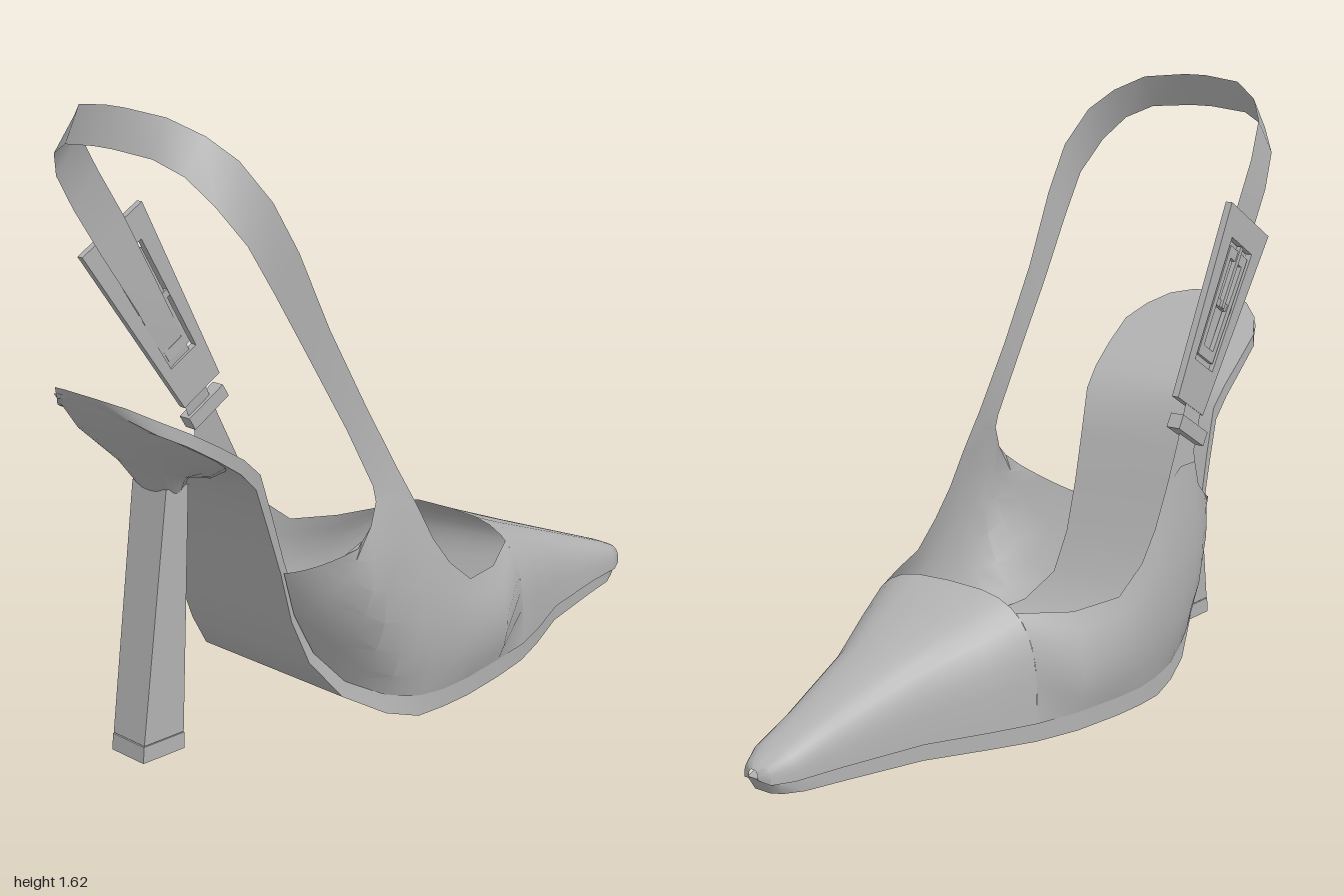
import * as THREE from 'three';
import { toCreasedNormals } from 'three/addons/utils/BufferGeometryUtils.js';

const leather = new THREE.MeshStandardMaterial({ color: 0xb2b2b2, side: THREE.DoubleSide });
leather.name = 'grey leather';

// Skin a list of equal-length cross-sections; closed sections also get end caps.
function loft(sections, closed = false) {
  const list = sections.slice();
  if (closed) {
    const cap = s => {
      const c = [0, 1, 2].map(k => s.reduce((sum, p) => sum + p[k], 0) / s.length);
      return s.map(() => c);
    };
    list.unshift(cap(sections[0]));
    list.push(cap(sections[sections.length - 1]));
  }
  const n = list[0].length, index = [];
  for (let i = 0; i < list.length - 1; i++) {
    for (let j = 0; j < (closed ? n : n - 1); j++) {
      const k = (j + 1) % n, a = i * n + j, b = i * n + k, c = a + n, d = b + n;
      index.push(a, b, c, b, d, c);
    }
  }
  const g = new THREE.BufferGeometry();
  g.setAttribute('position', new THREE.Float32BufferAttribute(list.flat(2), 3));
  g.setIndex(index);
  return toCreasedNormals(g, 0.6);
}

export function createModel() {
  const model = new THREE.Group();
  const add = (name, geometry, parent = model) => {
    const mesh = new THREE.Mesh(geometry, leather);
    mesh.name = name;
    parent.add(mesh);
    return mesh;
  };

  // Sole, arched shank and heel seat: z top, y top, x right, x left, z bottom, y bottom
  const sole = [
    [-0.995, 0.06, -0.005, 0.045, -0.97, 0.02], [-0.97, 0.05, -0.03, 0.065, -0.95, 0.018],
    [-0.9, 0.05, -0.055, 0.09, -0.9, 0.015], [-0.8, 0.05, -0.08, 0.11, -0.8, 0.012],
    [-0.566, 0.05, -0.145, 0.165, -0.566, 0.006], [-0.4, 0.05, -0.23, 0.24, -0.4, 0.003],
    [-0.28, 0.05, -0.285, 0.285, -0.28, 0], [-0.15, 0.05, -0.325, 0.315, -0.15, 0],
    [0, 0.05, -0.345, 0.34, 0, 0], [0.1, 0.05, -0.35, 0.345, 0.1, 0],
    [0.18, 0.055, -0.345, 0.34, 0.19, 0], [0.25, 0.08, -0.335, 0.3, 0.27, 0.02],
    [0.32, 0.13, -0.325, 0.21, 0.34, 0.06], [0.38, 0.21, -0.31, 0.15, 0.4, 0.155],
    [0.435, 0.32, -0.295, 0.145, 0.455, 0.28], [0.49, 0.46, -0.28, 0.155, 0.5, 0.425],
    [0.54, 0.59, -0.265, 0.17, 0.555, 0.56], [0.595, 0.715, -0.25, 0.19, 0.61, 0.68],
    [0.66, 0.77, -0.245, 0.205, 0.67, 0.735], [0.75, 0.825, -0.235, 0.22, 0.755, 0.79],
    [0.85, 0.882, -0.22, 0.23, 0.855, 0.85], [0.92, 0.92, -0.18, 0.2, 0.92, 0.885],
    [0.97, 0.95, -0.12, 0.15, 0.965, 0.92], [1, 0.965, -0.04, 0.08, 0.99, 0.945],
  ];
  add('soleAndInsole', loft(sole.map(([z, y, r, l, zb, yb]) =>
    [[r, y, z], [l, y, z], [l, yb, zb], [r, yb, zb]]), true));

  // Pointed vamp: z, centre x, half width, base y, top y
  const vamp = [
    [-1, 0.02, 0.015, 0.06, 0.085], [-0.985, 0.02, 0.045, 0.05, 0.1],
    [-0.93, 0.02, 0.075, 0.05, 0.125], [-0.8, 0.015, 0.1, 0.05, 0.175],
    [-0.566, 0.01, 0.16, 0.05, 0.265], [-0.4, 0.005, 0.24, 0.05, 0.33],
    [-0.28, 0, 0.29, 0.05, 0.38],
  ];
  const vampPoint = ([z, c, hw, base, top], t) => {
    const e = 0.6 + 0.15 * (-0.28 - z) / 0.72, cos = Math.cos(t);
    return [c + Math.sign(cos) * hw * Math.abs(cos) ** e,
      base + (top - base) * Math.max(0, Math.sin(t)) ** e, z];
  };
  add('vamp', loft(vamp.map(s =>
    Array.from({ length: 17 }, (_, i) => vampPoint(s, Math.PI * i / 16)))));

  // Side walls: feather edge, bulge and topline at each station
  const leftWall = [
    [0.315, 0.05, -0.15, 0.345, 0.18, -0.15, 0.30, 0.318, -0.14],
    [0.34, 0.05, 0, 0.37, 0.19, 0, 0.345, 0.33, 0],
    [0.345, 0.05, 0.1, 0.375, 0.22, 0.1, 0.355, 0.40, 0.09],
    [0.34, 0.055, 0.18, 0.375, 0.26, 0.17, 0.35, 0.48, 0.15],
    [0.325, 0.06, 0.22, 0.372, 0.28, 0.22, 0.34, 0.58, 0.2],
    [0.29, 0.07, 0.27, 0.365, 0.29, 0.27, 0.335, 0.63, 0.27],
    [0.21, 0.10, 0.33, 0.355, 0.30, 0.33, 0.335, 0.63, 0.34],
    [0.155, 0.18, 0.39, 0.335, 0.33, 0.38, 0.335, 0.56, 0.36],
    [0.148, 0.30, 0.45, 0.285, 0.39, 0.43, 0.335, 0.53, 0.39],
    [0.158, 0.425, 0.492, 0.25, 0.46, 0.46, 0.34, 0.515, 0.41],
  ];
  // The outer side hugs the shank more closely
  const rightEdge = [-0.325, -0.345, -0.35, -0.345, -0.34, -0.335, -0.325, -0.31, -0.295, -0.28];
  const rightBulge = [-0.345, -0.37, -0.375, -0.378, -0.378, -0.375, -0.368, -0.358, -0.338, -0.315];
  const rightWall = leftWall.map((s, i) => {
    const r = s.slice();
    r[0] = rightEdge[i];
    r[3] = rightBulge[i];
    r[6] = i < 3 ? -s[6] : -0.355;
    return r;
  });
  const wallPoint = (s, u) => [0, 1, 2].map(k =>
    s[k] * (1 - u) * (1 - 2 * u) + s[3 + k] * 4 * u * (1 - u) + s[6 + k] * u * (2 * u - 1));
  const steps = [0, 1, 2, 3, 4, 5, 6].map(i => i / 6);
  [['leftQuarter', leftWall, 1], ['rightQuarter', rightWall, -1]].forEach(([name, wall, side]) => {
    const first = steps.map(u => {
      const [x, y, z] = vampPoint(vamp[6], 0.89 * u);
      return [side * x, y, z];
    });
    add(name, loft([first, ...wall.map(s => steps.map(u => wallPoint(s, u)))]));
  });

  // Heel strap: left x, right x, front edge z y, back edge z y, from ankle to crown
  const strap = [
    [0.34, -0.355, 0.2, 0.58, 0.342, 0.6],
    [0.327, -0.348, 0.26, 0.69, 0.345, 0.66], [0.316, -0.328, 0.36, 0.87, 0.425, 0.82],
    [0.317, -0.313, 0.48, 1.08, 0.555, 1.03], [0.33, -0.313, 0.59, 1.285, 0.67, 1.2],
    [0.335, -0.305, 0.675, 1.415, 0.755, 1.325], [0.3, -0.283, 0.745, 1.515, 0.82, 1.42],
    [0.245, -0.235, 0.795, 1.57, 0.86, 1.485], [0.17, -0.15, 0.845, 1.61, 0.89, 1.52],
    [0.04, -0.03, 0.862, 1.622, 0.9, 1.53],
  ];
  const strapSide = k => strap.map(s => [[s[k], s[3], s[2]], [s[k], s[5], s[4]]]);
  add('heelStrap', loft([...strapSide(0), ...strapSide(1).reverse()]));

  // Heel cup under the seat: z centre, y centre, x radius, z radius, slope
  const ring = ([zc, yc, rx, rz, slope, xc]) => Array.from({ length: 20 }, (_, i) => {
    const a = Math.PI * 2 * i / 20, dz = rz * Math.sin(a);
    return [xc + rx * Math.sign(Math.cos(a)) * Math.abs(Math.cos(a)) ** 0.8, yc + slope * dz, zc + dz];
  });
  add('heelCup', loft([
    [0.8, 0.83, 0.225, 0.19, 0.62, 0], [0.8, 0.775, 0.17, 0.14, 0.58, 0],
    [0.77, 0.728, 0.1, 0.07, 0.35, -0.005], [0.75, 0.675, 0.066, 0.036, 0, -0.005],
  ].map(ring), true));

  // Slender heel and its tip
  const slab = (y, x0, x1, z0, z1) => [[x0, y, z0], [x1, y, z0], [x1, y, z1], [x0, y, z1]];
  add('heel', loft([slab(0.045, -0.065, 0.055, 0.745, 0.872),
    slab(0.69, -0.068, 0.06, 0.715, 0.785)], true));
  add('heelTip', loft([slab(0, -0.066, 0.056, 0.744, 0.877),
    slab(0.043, -0.066, 0.056, 0.744, 0.874)], true));

  // Buckle, laid out along the strap direction in the z-y plane
  const buckle = new THREE.Group();
  buckle.name = 'buckle';
  model.add(buckle);
  const quad = (s0, s1, w0, w1) => [[s0, -w0], [s0, w0], [s1, w1], [s1, -w1]].map(([s, w]) =>
    new THREE.Vector2(0.34 + 0.514 * s + 0.858 * w, 0.78 + 0.858 * s - 0.514 * w));
  const plate = (name, outline, hole, x, depth) => {
    const shape = new THREE.Shape(outline);
    if (hole) shape.holes.push(new THREE.Path(hole));
    const mesh = add(name, new THREE.ExtrudeGeometry(shape, { depth, bevelEnabled: false }), buckle);
    mesh.rotation.y = -Math.PI / 2;
    mesh.position.x = x;
  };
  plate('bucklePlate', quad(0, 0.555, 0.072, 0.114), quad(0.12, 0.475, 0.05, 0.06), -0.318, 0.02);
  plate('buckleFrame', quad(0.14, 0.455, 0.042, 0.05), quad(0.17, 0.425, 0.026, 0.032), -0.322, 0.014);
  plate('buckleBar', quad(0.29, 0.31, 0.055, 0.055), null, -0.32, 0.012);
  plate('bucklePin', quad(0.29, 0.47, 0.007, 0.007), null, -0.326, 0.014);
  plate('strapKeeper', quad(-0.085, -0.045, 0.07, 0.07), null, -0.33, 0.04);

  return model;
}
